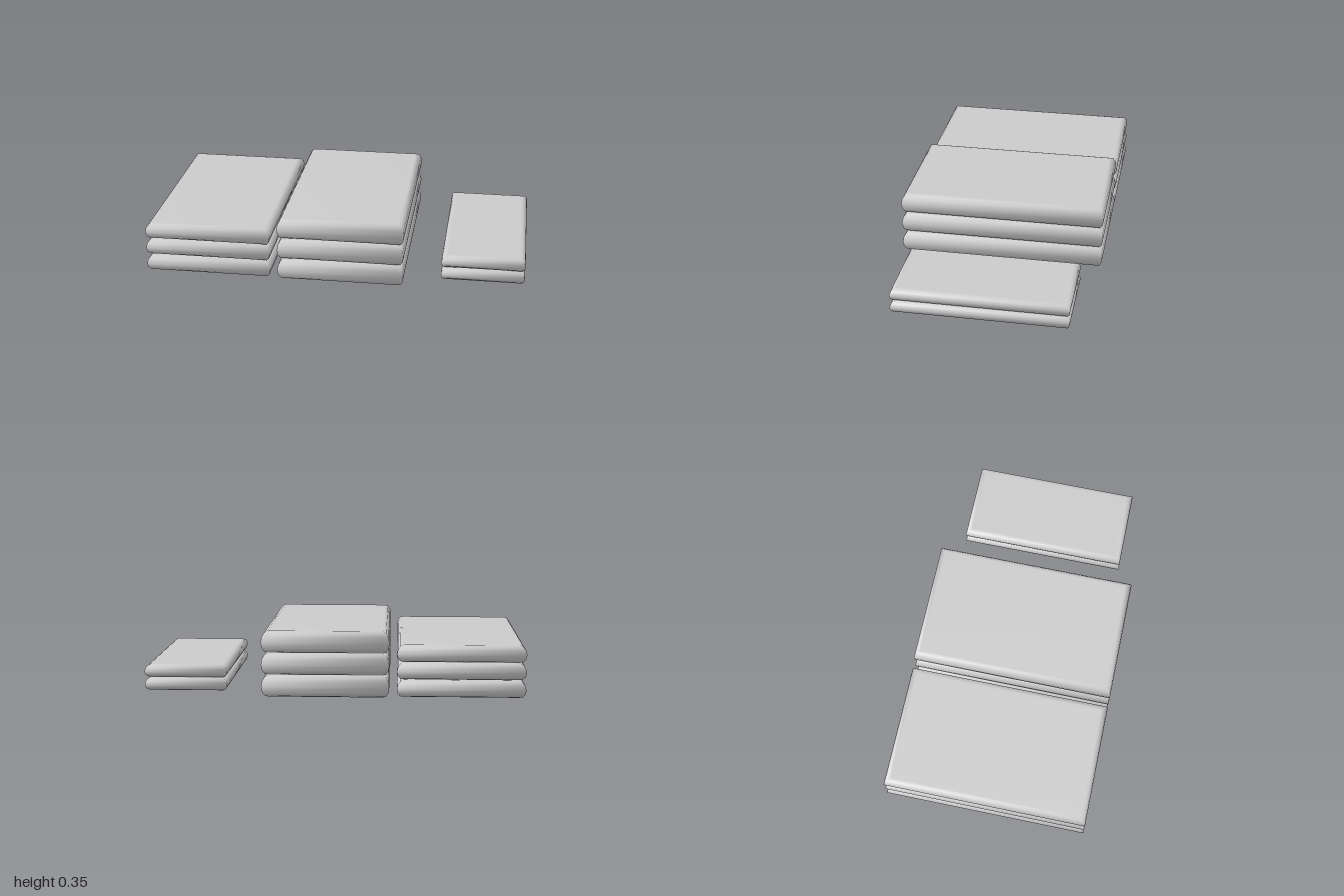
import * as THREE from 'three';

const material = new THREE.MeshStandardMaterial({ color: 0xcccccc });

// Soft slab: rectangular rings lofted along a half-ellipse edge profile.
function slabGeometry(width, depth, halfHeight, edge, steps = 6) {
  const positions = [];
  const index = [];
  for (let i = 0; i <= steps; i++) {
    const a = -Math.PI / 2 + (Math.PI * i) / steps;
    const inset = edge * (1 - Math.cos(a));
    const x = width / 2 - inset;
    const z = depth / 2 - inset;
    const y = halfHeight * Math.sin(a);
    positions.push(x, y, z, x, y, -z, -x, y, -z, -x, y, z);
  }
  for (let i = 0; i < steps; i++) {
    for (let k = 0; k < 4; k++) {
      const a = i * 4 + k;
      const b = i * 4 + ((k + 1) % 4);
      index.push(a, b, b + 4, a, b + 4, a + 4);
    }
  }
  // Flat top and underside
  const t = steps * 4;
  index.push(t, t + 1, t + 2, t, t + 2, t + 3);
  index.push(0, 2, 1, 0, 3, 2);
  const geometry = new THREE.BufferGeometry();
  geometry.setAttribute('position', new THREE.Float32BufferAttribute(positions, 3));
  geometry.setIndex(index);
  geometry.computeVertexNormals();
  return geometry;
}

// A pile of identical slabs, one for each centre height.
function makeStack(name, x, heights, geometry) {
  const stack = new THREE.Group();
  stack.name = name;
  stack.position.x = x;
  heights.forEach((y, i) => {
    const slab = new THREE.Mesh(geometry, material);
    slab.name = `${name}Slab${i + 1}`;
    slab.position.y = y;
    stack.add(slab);
  });
  return stack;
}

export function createModel() {
  const model = new THREE.Group();
  model.name = 'foldedStacks';

  // Right: three thin wide slabs
  model.add(makeStack('rightStack', -0.667, [0.053, 0.146, 0.238], slabGeometry(0.667, 1.09, 0.045, 0.035)));
  // Middle: three thick wide slabs
  model.add(makeStack('middleStack', 0.039, [0.06, 0.177, 0.293], slabGeometry(0.667, 1.09, 0.058, 0.035)));
  // Left: two small slabs with fully rounded edges
  model.add(makeStack('leftStack', 0.781, [0.049, 0.119], slabGeometry(0.438, 0.908, 0.035, 0.033, 10)));

  return model;
}
